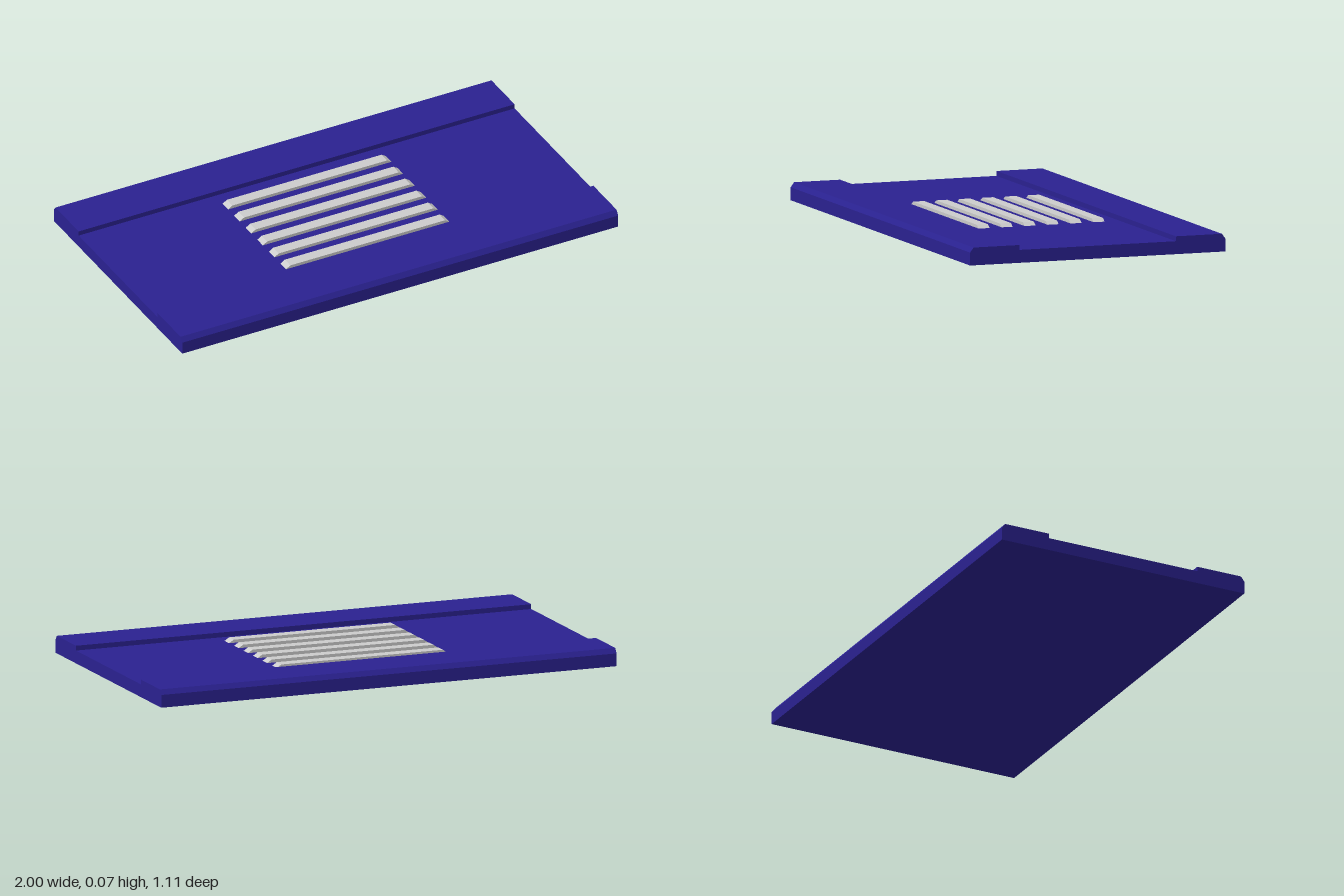
import * as THREE from 'three';

// Solid extruded from an outline, centred on its depth
function prism(points, depth) {
  const shape = new THREE.Shape(points.map(([x, y]) => new THREE.Vector2(x, y)));
  const geometry = new THREE.ExtrudeGeometry(shape, { depth, bevelEnabled: false });
  return geometry.translate(0, 0, -depth / 2);
}

export function createModel() {
  const model = new THREE.Group();
  model.name = 'slottedPlate';
  const blue = new THREE.MeshStandardMaterial({ color: 0x2a2190, flatShading: true });
  const grey = new THREE.MeshStandardMaterial({ color: 0xcccccc, flatShading: true });

  const floorY = 0.053, railY = 0.073;

  // Plate: cross-section with two raised, chamfered rails along the long edges
  const half = [[0.555, 0], [0.555, floorY], [0.54, railY], [0.34, railY], [0.34, floorY]];
  const mirrored = half.map(([z, y]) => [-z, y]).reverse();
  const plate = new THREE.Mesh(prism([...half, ...mirrored], 2).rotateY(-Math.PI / 2), blue);
  plate.name = 'plate';
  model.add(plate);

  // Six raised bars with sloping ends, sunk slightly into the channel floor
  const bars = new THREE.Group();
  bars.name = 'bars';
  const barGeometry = prism([
    [-0.375, floorY - 0.01], [0.375, floorY - 0.01], [0.375, floorY],
    [0.355, 0.066], [-0.355, 0.066], [-0.375, floorY],
  ], 0.048);
  for (let i = 0; i < 6; i++) {
    const bar = new THREE.Mesh(barGeometry, grey);
    bar.name = `bar${i + 1}`;
    bar.position.z = (i - 2.5) * 0.1;
    bars.add(bar);
  }
  model.add(bars);

  return model;
}
